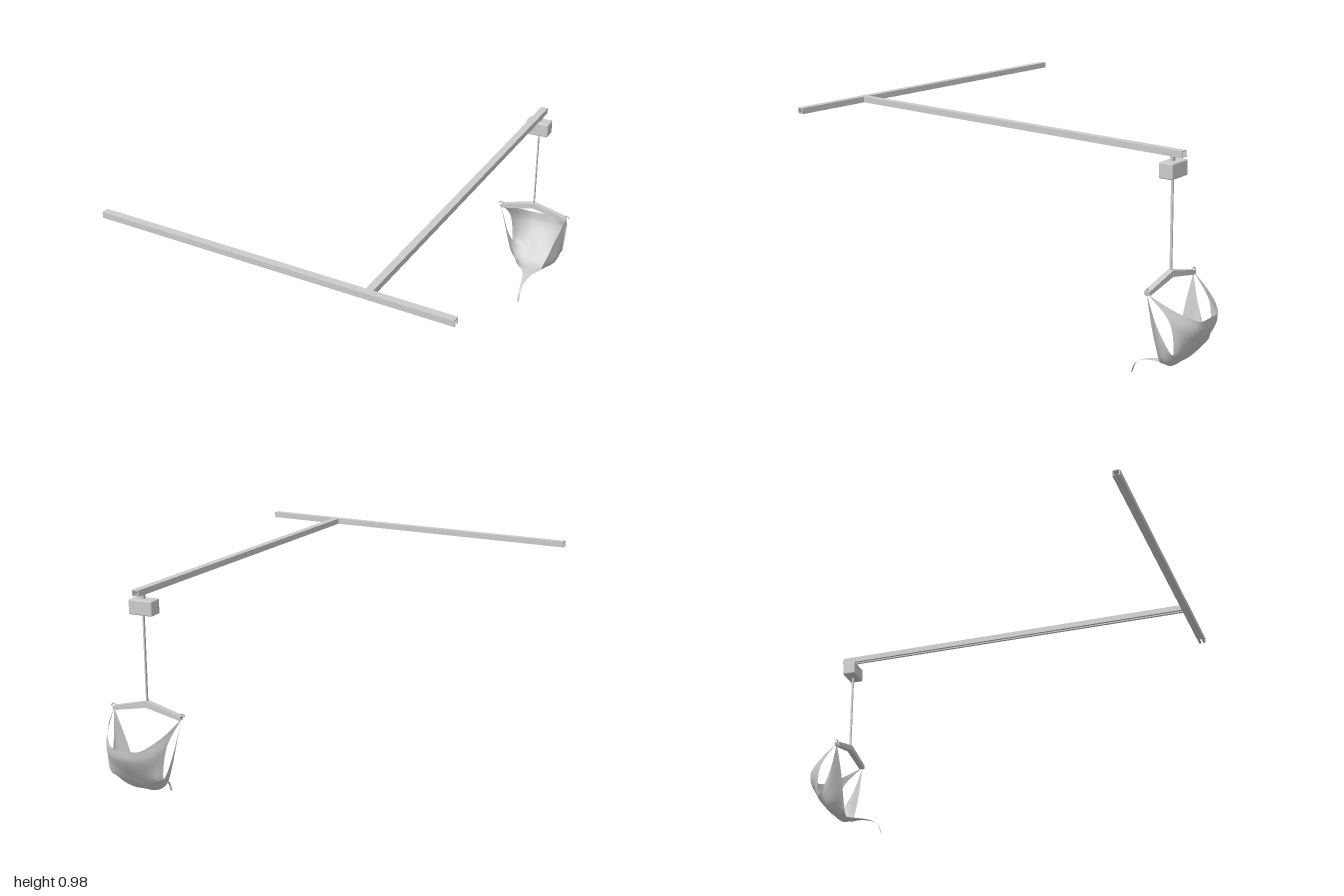
import * as THREE from 'three';
import { RoundedBoxGeometry } from 'three/addons/geometries/RoundedBoxGeometry.js';

const grey = new THREE.MeshStandardMaterial({ color: 0xcccccc });
const cloth = new THREE.MeshStandardMaterial({ color: 0xcccccc, side: THREE.DoubleSide });
const CX = 0.504; // middle of the hanging parts
const CZ = -0.81;
const V = (x, y, z) => new THREE.Vector3(x, y, z);

function add(group, name, geometry, x = 0, y = 0, z = 0, material = grey) {
  const mesh = new THREE.Mesh(geometry, material);
  mesh.name = name;
  mesh.position.set(x, y, z);
  group.add(mesh);
  return mesh;
}

const polygon = (pts) => new THREE.Shape(pts.map((p) => new THREE.Vector2(p[0], p[1])));

// Hollow rail with a slot along its underside, laid between two points
function addRail(group, name, from, to) {
  const w = 0.0165, h = 0.0135, t = 0.004, s = 0.005;
  const profile = polygon([
    [-s, -h], [-s, -h + t], [-w + t, -h + t], [-w + t, h - t], [w - t, h - t],
    [w - t, -h + t], [s, -h + t], [s, -h], [w, -h], [w, h], [-w, h], [-w, -h],
  ]);
  const geo = new THREE.ExtrudeGeometry(profile, { depth: from.distanceTo(to), bevelEnabled: false });
  add(group, name, geo, from.x, from.y, from.z).lookAt(to);
}

// Smooth sheet through rows of points
function sheet(rows) {
  const nu = rows[0].length, pos = [], idx = [];
  rows.forEach((row) => row.forEach((p) => pos.push(p.x, p.y, p.z)));
  for (let j = 0; j < rows.length - 1; j++) {
    for (let i = 0; i < nu - 1; i++) {
      const a = j * nu + i, b = a + nu;
      idx.push(a, b, a + 1, a + 1, b, b + 1);
    }
  }
  const geo = new THREE.BufferGeometry();
  geo.setAttribute('position', new THREE.Float32BufferAttribute(pos, 3));
  geo.setIndex(idx);
  geo.computeVertexNormals();
  return geo;
}

// Sling: half rows from the middle out, going from the back's top edge to the seat's front edge.
// The outermost column leaves the hook and returns to it, which forms the side opening.
function slingGeometry() {
  const halves = [
    [[0, 0.32, -1], [0.065, 0.32, -0.995], [0.11, 0.345, -0.955], [0.145, 0.38, -0.895], [0.172, 0.427, -0.815]],
    [[0, 0.27, -0.993], [0.07, 0.27, -0.985], [0.115, 0.285, -0.957], [0.138, 0.303, -0.928], [0.15, 0.32, -0.905]],
    [[0, 0.17, -0.925], [0.05, 0.165, -0.925], [0.09, 0.165, -0.922], [0.12, 0.17, -0.918], [0.136, 0.18, -0.912]],
    [[0, 0.098, -0.86], [0.06, 0.1, -0.86], [0.11, 0.13, -0.86], [0.14, 0.2, -0.865], [0.155, 0.29, -0.85]],
    [[0, 0.086, -0.8], [0.052, 0.098, -0.8], [0.085, 0.17, -0.8], [0.122, 0.28, -0.8], [0.172, 0.427, -0.81]],
  ];
  const rows = halves.map((half) => {
    const right = half.map(([x, y, z]) => V(CX + x, y, z));
    const left = half.slice(1).reverse().map(([x, y, z]) => V(CX - x, y, z));
    return new THREE.CatmullRomCurve3([...left, ...right]).getPoints(48);
  });
  const columns = rows[0].map((_, i) => new THREE.CatmullRomCurve3(rows.map((r) => r[i])).getPoints(32));
  return sheet(columns);
}

// Leg strap: a ribbon narrowing from the seat edge to its free tip
function strapGeometry() {
  const path = new THREE.CatmullRomCurve3([
    V(CX, 0.087, -0.805), V(CX + 0.003, 0.083, -0.75), V(CX + 0.006, 0.071, -0.69),
    V(CX + 0.009, 0.047, -0.65), V(CX + 0.01, 0.001, -0.63),
  ]);
  const rows = path.getPoints(24).map((p, i) => {
    const w = 0.006 + 0.036 * Math.pow(1 - i / 24, 4);
    return [V(p.x - w, p.y, p.z), p, V(p.x + w, p.y, p.z)];
  });
  return sheet(rows);
}

export function createModel() {
  const model = new THREE.Group();
  model.name = 'ceilingHoist';

  // Ceiling rails
  addRail(model, 'crossRail', V(-0.818, 0.968, 0.877), V(0.816, 0.968, 0.982));
  addRail(model, 'mainRail', V(0.442, 0.968, 0.942), V(0.506, 0.968, -0.863));

  // Trolley, motor and lifting strap
  add(model, 'trolley', new THREE.BoxGeometry(0.018, 0.034, 0.014), CX, 0.946, CZ);
  add(model, 'motor', new RoundedBoxGeometry(0.114, 0.066, 0.066, 2, 0.006), 0.5, 0.901, CZ);
  add(model, 'liftingStrap', new THREE.BoxGeometry(0.006, 0.41, 0.01), CX, 0.675, CZ);

  // Spreader bar
  const bar = polygon([
    [-0.168, 0.42], [0, 0.455], [0.168, 0.42], [0.172, 0.438], [0, 0.483], [-0.172, 0.438],
  ]);
  const barGeo = new THREE.ExtrudeGeometry(bar, { depth: 0.026, bevelEnabled: false });
  add(model, 'spreaderBar', barGeo, CX, 0, CZ - 0.013);

  // Hooks at both ends of the bar
  for (const side of [-1, 1]) {
    const hook = add(model, side > 0 ? 'leftHook' : 'rightHook',
      new THREE.TorusGeometry(0.012, 0.003, 8, 20, 5.2), CX + side * 0.173, 0.436, CZ);
    hook.rotation.y = side > 0 ? 0 : Math.PI;
  }

  // Sling seat and leg strap
  add(model, 'sling', slingGeometry(), 0, 0, 0, cloth);
  add(model, 'legStrap', strapGeometry(), 0, 0, 0, cloth);

  return model;
}
